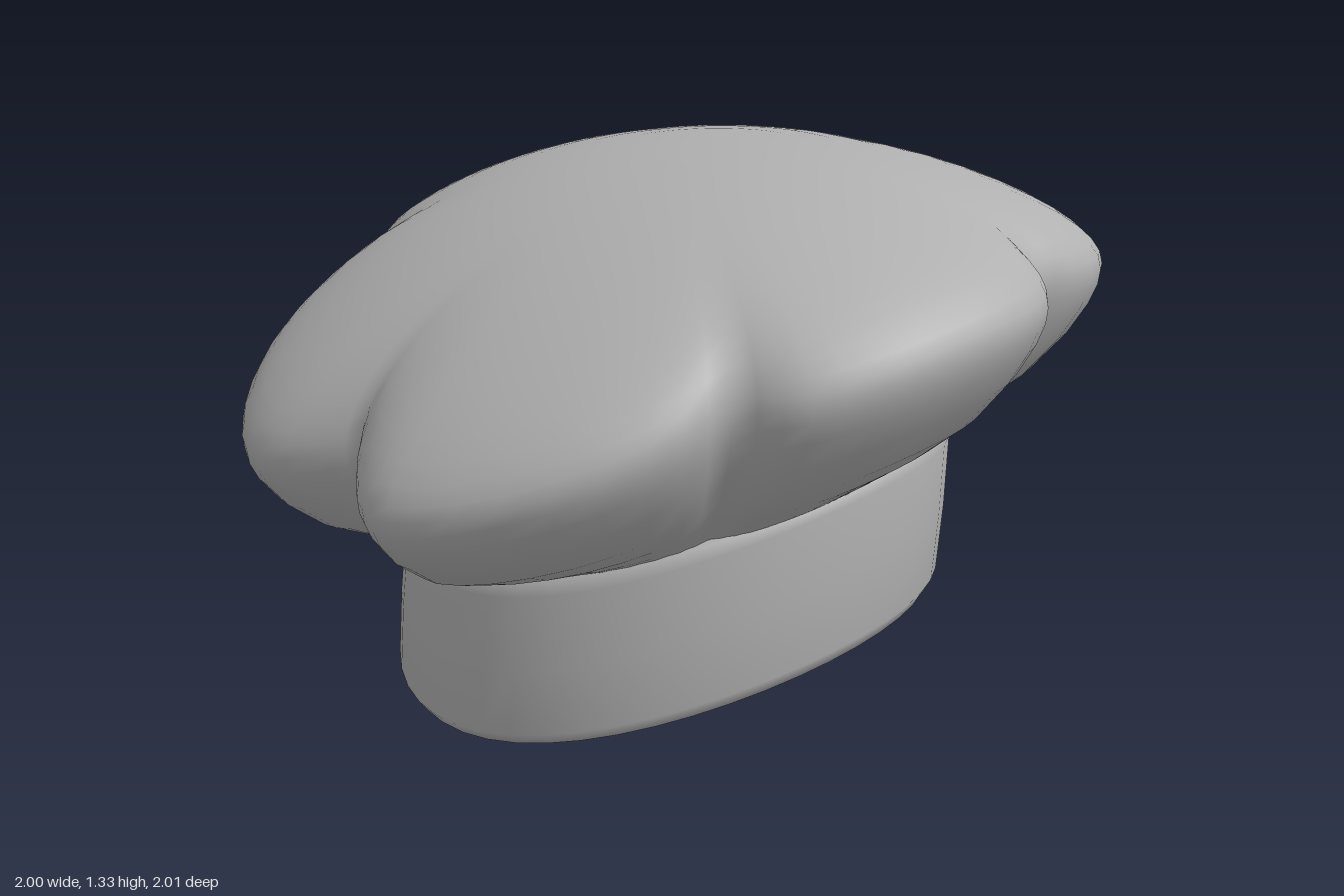
import * as THREE from 'three';

// Skin closed rings, listed from bottom to top, each running counterclockwise seen from above
function loft(rings) {
  const n = rings[0].length;
  const index = [];
  for (let r = 0; r < rings.length - 1; r++) {
    for (let i = 0; i < n; i++) {
      const a = r * n + i, b = r * n + (i + 1) % n;
      index.push(a, b, b + n, a, b + n, a + n);
    }
  }
  const geometry = new THREE.BufferGeometry();
  geometry.setAttribute('position', new THREE.Float32BufferAttribute(rings.flat(2), 3));
  geometry.setIndex(index);
  geometry.computeVertexNormals();
  return geometry;
}

// Six-lobed plan outline [x, z]: three lobes on the +x side, then mirrored
function lobedOutline() {
  const lobes = [
    [[0, 0.87], [0.08, 0.93], [0.2, 0.99], [0.32, 1], [0.5, 0.92], [0.68, 0.75], [0.77, 0.55], [0.765, 0.4]],
    [[0.765, 0.4], [0.9, 0.32], [0.98, 0.15], [1, -0.02], [0.98, -0.23], [0.9, -0.4], [0.765, -0.48]],
    [[0.765, -0.48], [0.77, -0.64], [0.68, -0.81], [0.5, -0.94], [0.32, -1], [0.18, -0.99], [0.08, -0.94], [0, -0.9]],
  ];
  const half = [];
  for (const lobe of lobes) {
    const curve = new THREE.CatmullRomCurve3(lobe.map(([x, z]) => new THREE.Vector3(x, 0, z)));
    for (const p of curve.getPoints(16).slice(0, -1)) half.push([p.x, p.z]);
  }
  half.push([0, -0.9]);
  const mirrored = half.slice(1, -1).reverse().map(([x, z]) => [-x, z]);
  return [...half, ...mirrored];
}

// Puffy crown, drooping toward the front
function crownGeometry() {
  const outline = lobedOutline();
  const rim = (z) => 1.0 - 0.185 * z - 0.155 * z * z;
  // [scale, height from the rim, how strongly the lobes show]
  const rows = [
    [0.6, -0.46, 0], [0.65, -0.41, 0.1], [0.7, -0.37, 0.45], [0.77, -0.315, 0.8], [0.85, -0.245, 1],
    [0.93, -0.15, 1], [0.975, -0.075, 1], [0.995, -0.025, 1],
  ];
  for (let i = 0; i <= 16; i++) {
    const k = Math.cos((i / 16) * Math.PI / 2);
    rows.push([k, 0.31 * Math.sqrt(1 - k * k) + 0.012 * k, Math.pow(k, 4)]);
  }
  return loft(rows.map(([k, h, w]) => outline.map(([x, z]) => {
    const t = Math.atan2(x / 0.93, z / 0.96);
    const px = k * THREE.MathUtils.lerp(0.93 * Math.sin(t), x, w);
    const pz = k * THREE.MathUtils.lerp(0.96 * Math.cos(t), z, w);
    return [px, rim(pz) + h, pz];
  })));
}

// Curved upper and lower edges of the headband
const bandTop = (z) => 0.635 - 0.171 * z - 0.224 * z * z;
const bandBottom = (z) => 0.2 - 0.173 * z - 0.183 * z * z;

function bandRing(scale, up, offset) {
  const ring = [];
  for (let i = 0; i < 48; i++) {
    const t = (i / 48) * Math.PI * 2;
    const x = 0.655 * scale * Math.sin(t);
    const z = 0.7 * scale * Math.cos(t);
    const y = THREE.MathUtils.lerp(bandBottom(z), bandTop(z), up) + offset;
    ring.push([x, y, z - 0.03 * up]);
  }
  return ring;
}

export function createModel() {
  const hat = new THREE.Group();
  hat.name = 'chefHat';
  const cloth = new THREE.MeshStandardMaterial({ color: 0xb0b0b0 });
  cloth.name = 'greyCloth';

  const add = (name, geometry) => {
    const mesh = new THREE.Mesh(geometry, cloth);
    mesh.name = name;
    hat.add(mesh);
  };

  add('puffyCrown', crownGeometry());

  // Headband with softly rounded edges, closed inward under the crown
  add('headband', loft([
    bandRing(0.92, 0, 0), bandRing(0.97, 0, 0.01), bandRing(1, 0, 0.045), bandRing(1.005, 0.5, 0),
    bandRing(1, 1, -0.04), bandRing(0.98, 1, -0.012), bandRing(0.94, 1, 0), bandRing(0.5, 1, -0.03),
  ]));

  // Slightly bulging underside
  add('underside', loft([0, 0.25, 0.5, 0.75, 0.92].map(
    (k) => bandRing(k, 0, -0.05 * (1 - (k / 0.92) ** 2)))));

  return hat;
}
